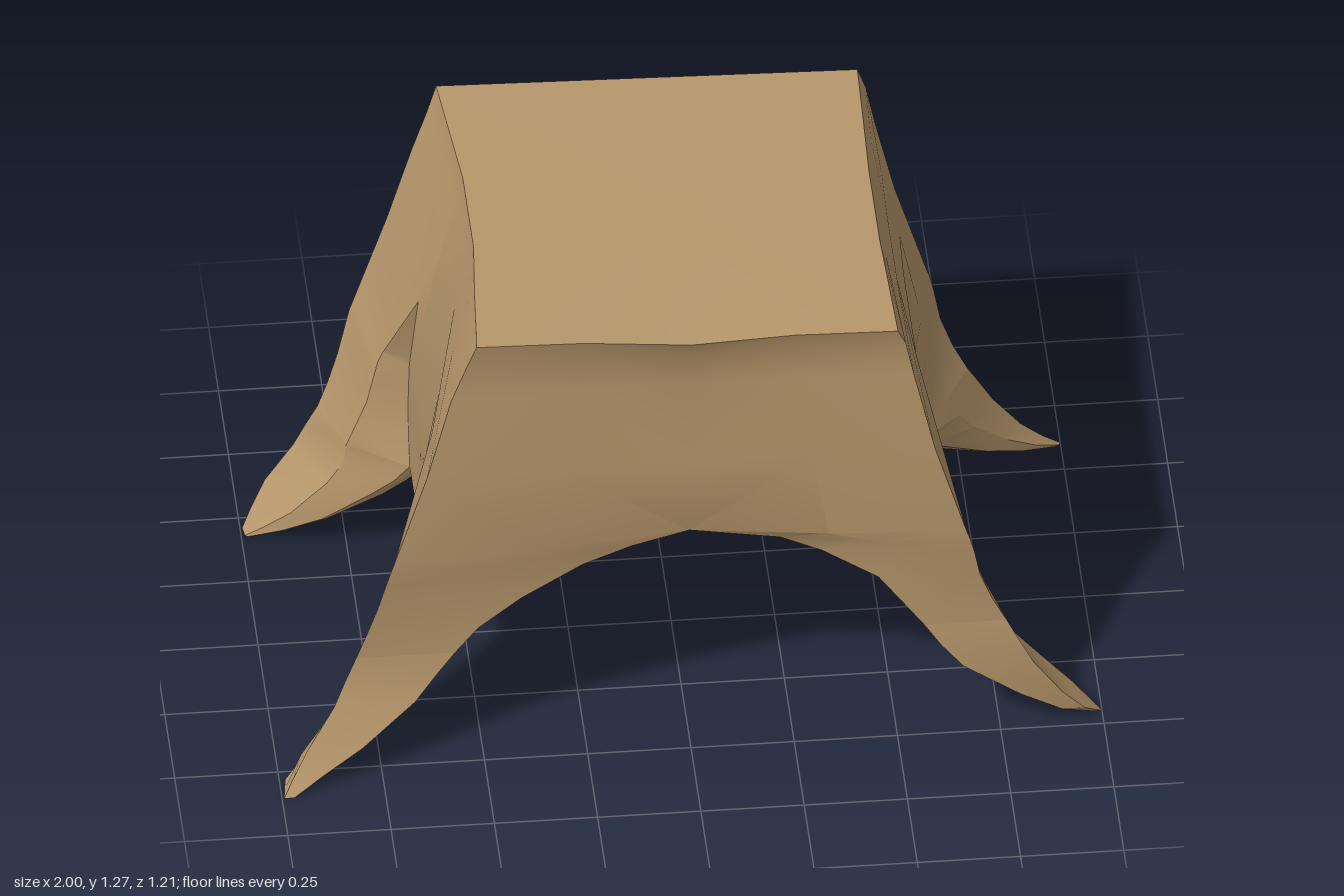
import * as THREE from 'three';
import { toCreasedNormals } from 'three/addons/utils/BufferGeometryUtils.js';

// Collects triangles; flip reverses the winding for mirrored parts
function builder() {
  const pos = [];
  const tri = (a, b, c, flip) => pos.push(...a, ...(flip ? c : b), ...(flip ? b : c));
  const quad = (a, b, c, d, flip) => { tri(a, b, c, flip); tri(a, c, d, flip); };
  const geometry = () => {
    const g = new THREE.BufferGeometry();
    g.setAttribute('position', new THREE.Float32BufferAttribute(pos, 3));
    return toCreasedNormals(g, 0.45);
  };
  return { tri, quad, geometry };
}

// Body sections, bottom up. Arch and corner x are listed for the left and right side;
// front is the z of the corners, middle the z at the arch or centre line
const SECTIONS = [
  { y: 0.33, arch: [0.565, 0.57], corner: [0.765, 0.81], wall: 0.61, front: 0.495, middle: 0.495 },
  { y: 0.40, arch: [0.515, 0.515], corner: [0.73, 0.785], wall: 0.61, front: 0.497, middle: 0.495 },
  { y: 0.48, arch: [0.455, 0.41], corner: [0.70, 0.76], wall: 0.61, front: 0.505, middle: 0.49 },
  { y: 0.56, arch: [0.32, 0.26], corner: [0.685, 0.74], wall: 0.608, front: 0.515, middle: 0.475 },
  { y: 0.60, arch: [0.22, 0.14], corner: [0.675, 0.73], wall: 0.607, front: 0.52, middle: 0.465 },
  { y: 0.63, arch: [0, 0], corner: [0.665, 0.72], wall: 0.605, front: 0.52, middle: 0.455 },
  { y: 0.88, arch: [0, 0], corner: [0.59, 0.64], wall: 0.58, front: 0.512, middle: 0.505 },
  { y: 1.10, arch: [0, 0], corner: [0.54, 0.58], wall: 0.535, front: 0.497, middle: 0.475 },
  { y: 1.20, arch: [0, 0], corner: [0.52, 0.545], wall: 0.505, front: 0.503, middle: 0.495 },
  { y: 1.26, arch: [0, 0], corner: [0.50, 0.52], wall: 0.49, front: 0.515, middle: 0.515 },
];

// Blend from corner to side wall per section: ridge share of the flare, ridge z, wall z
const CREASED = [
  [0.72, 0.34, 0.24], [0.70, 0.325, 0.27], [0.65, 0.31, 0.285], [0.62, 0.31, 0.285], [0.60, 0.31, 0.285],
  [0.55, 0.31, 0.28], [0.25, 0.18, 0.15], [0, 0.15, 0.12], [0, 0.15, 0.12], [0, 0.15, 0.12],
];
const SMOOTH = [
  [0.55, 0.36, 0.21], [0.5, 0.36, 0.21], [0.5, 0.36, 0.20], [0.5, 0.36, 0.20], [0.5, 0.36, 0.20],
  [0.5, 0.36, 0.20], [0.5, 0.33, 0.18], [0.5, 0.30, 0.12], [0.5, 0.30, 0.12], [0.5, 0.30, 0.12],
];

// Leg sections below the body, top down
const LEG = [
  { y: 0.27, arch: [0.605, 0.615], corner: [0.795, 0.835], wall: 0.645 },
  { y: 0.20, arch: [0.66, 0.67], corner: [0.83, 0.865], wall: 0.70 },
  { y: 0.10, arch: [0.80, 0.80], corner: [0.90, 0.935], wall: 0.81 },
  { y: 0.04, arch: [0.90, 0.90], corner: [0.955, 0.97], wall: 0.905 },
  { y: 0.00, arch: [0.98, 0.97], corner: [1.00, 0.995], wall: 0.985 },
];

// Each corner: side signs, blend, and outer, ridge and inner z for the leg sections
const CORNERS = [
  { name: 'frontLeftRoot', sx: 1, sz: 1, blend: CREASED,
    depth: [[0.50, 0.35, 0.25], [0.50, 0.35, 0.295], [0.495, 0.35, 0.335], [0.485, 0.38, 0.365], [0.45, 0.435, 0.43]] },
  { name: 'frontRightRoot', sx: -1, sz: 1, blend: SMOOTH,
    depth: [[0.50, 0.37, 0.25], [0.515, 0.40, 0.30], [0.555, 0.45, 0.38], [0.58, 0.49, 0.44], [0.605, 0.57, 0.53]] },
  { name: 'backLeftRoot', sx: 1, sz: -1, blend: SMOOTH,
    depth: [[0.515, 0.39, 0.285], [0.535, 0.43, 0.36], [0.56, 0.50, 0.46], [0.585, 0.55, 0.53], [0.605, 0.595, 0.59]] },
  { name: 'backRightRoot', sx: -1, sz: -1, blend: CREASED,
    depth: [[0.51, 0.35, 0.265], [0.52, 0.36, 0.305], [0.515, 0.38, 0.35], [0.49, 0.41, 0.39], [0.46, 0.43, 0.425]] },
];

// Quarter outline from the arch, round the corner, to the side wall
function quarter({ y, arch, corner, wall }, [share, ridgeZ, wallZ], front, middle, sx, sz) {
  const side = sx > 0 ? 0 : 1;
  const xi = arch[side], xc = corner[side];
  return [
    [xi, middle], [(xi + xc) / 2, front * 0.7 + middle * 0.3], [xc, front],
    [wall + share * (xc - wall), ridgeZ], [wall, wallZ],
  ].map(([x, z]) => [x * sx, y, z * sz]);
}

// Outline of one side half of the body at section i
function bodySection(i, sx) {
  const s = SECTIONS[i];
  const [front, back] = [1, -1].map((sz) => {
    const corner = CORNERS.find((c) => c.sx === sx && c.sz === sz);
    return quarter(s, corner.blend[i], s.front, s.middle, sx, sz);
  });
  const ring = [...front, ...back.reverse()];
  if (i < SECTIONS.length - 1) return ring;
  // The top rim rises to the right and sags in the middle of the front edge
  return ring.map(([x, y, z]) => [x, y - 0.025 * x - (z > 0.4 && x === 0 ? 0.018 : 0), z]);
}

function buildBody() {
  const b = builder();
  for (const sx of [1, -1]) {
    const flip = sx < 0;
    const rings = SECTIONS.map((s, i) => bodySection(i, sx));
    const n = rings[0].length;
    for (let i = 0; i < rings.length - 1; i++) {
      const sides = SECTIONS[i].arch[0] > 0 ? n : n - 1; // tunnel wall below the arch crown
      for (let j = 0; j < sides; j++) {
        const k = (j + 1) % n;
        b.quad(rings[i][j], rings[i][k], rings[i + 1][k], rings[i + 1][j], flip);
      }
    }
    // Top surface
    const top = rings[rings.length - 1];
    for (let j = 0; j < n - 1; j++) b.tri([0, 1.265, 0], top[j], top[j + 1], flip);
    // Lower rim of the side wall between the legs
    const [wallFront, wallBack] = [rings[0][4], rings[0][5]];
    const [x, y] = rings[0][0];
    b.quad([x, y, wallFront[2]], [x, y, wallBack[2]], wallBack, wallFront, flip);
  }
  return b.geometry();
}

function buildLeg({ sx, sz, blend, depth }) {
  const b = builder();
  const flip = sx * sz < 0;
  const { front, middle } = SECTIONS[0];
  const rings = [quarter(SECTIONS[0], blend[0], front, middle, sx, sz)];
  LEG.forEach((s, i) => {
    const [outer, ridge, inner] = depth[i];
    rings.push(quarter(s, [0.6, ridge, inner], outer, outer, sx, sz));
  });
  // Close each outline along the inside of the arch
  for (const r of rings) r.push([r[0][0], r[0][1], r[4][2]]);
  const n = rings[0].length;
  for (let i = 0; i < rings.length - 1; i++) {
    for (let j = 0; j < n; j++) {
      const k = (j + 1) % n;
      b.quad(rings[i + 1][j], rings[i + 1][k], rings[i][k], rings[i][j], flip);
    }
  }
  // Sole
  const tip = rings[rings.length - 1];
  for (let j = 1; j < n - 1; j++) b.tri(tip[0], tip[j + 1], tip[j], flip);
  return b.geometry();
}

export function createModel() {
  const model = new THREE.Group();
  const wood = new THREE.MeshStandardMaterial({ color: 0xb8986c });
  wood.name = 'tan wood';

  const add = (name, geometry) => {
    const mesh = new THREE.Mesh(geometry, wood);
    mesh.name = name;
    model.add(mesh);
  };

  add('stumpBody', buildBody());
  for (const corner of CORNERS) add(corner.name, buildLeg(corner));
  return model;
}
